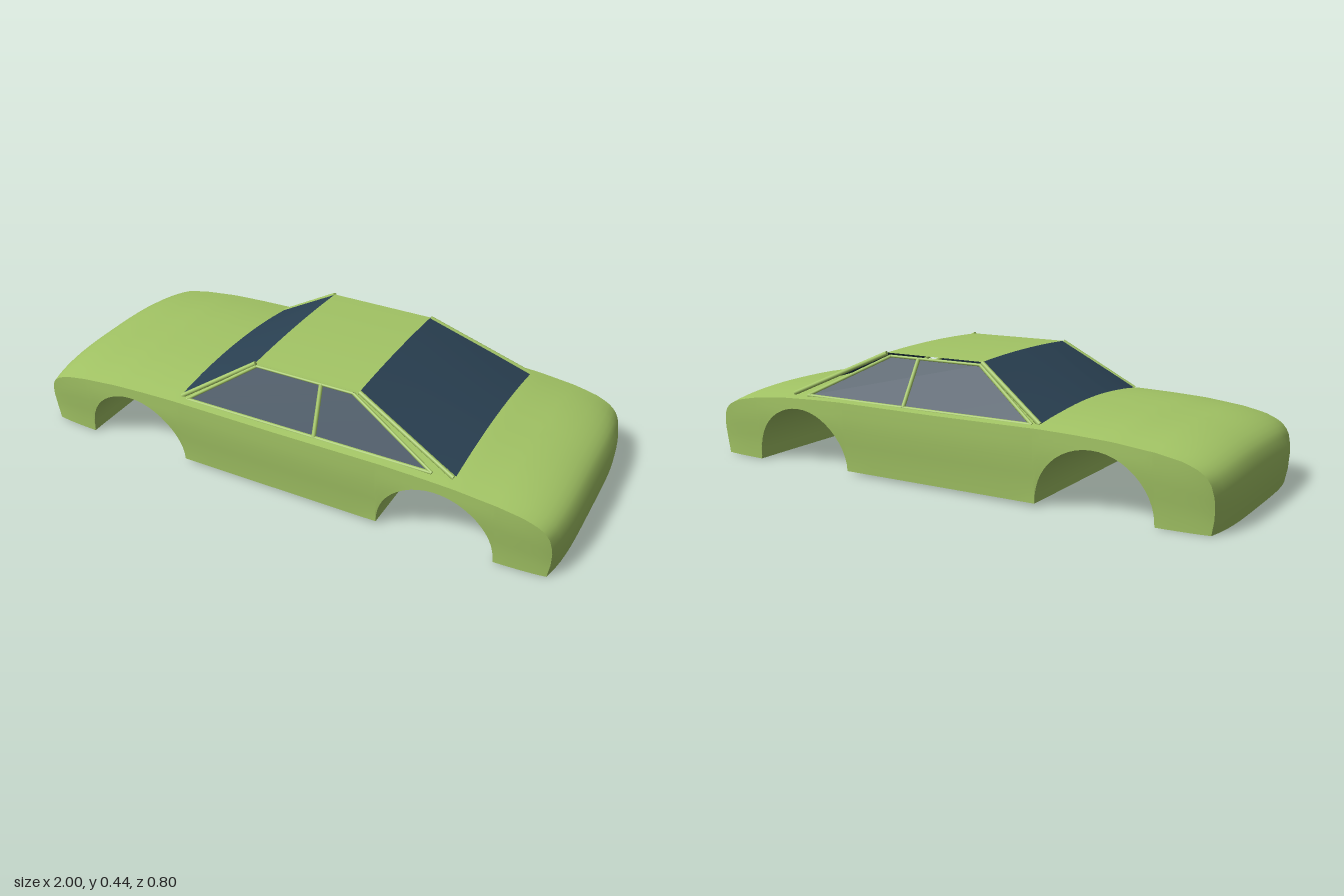
import * as THREE from 'three';
import { toCreasedNormals } from 'three/addons/utils/BufferGeometryUtils.js';

const paint = new THREE.MeshStandardMaterial({ color: 0xa3c565, side: THREE.DoubleSide });
paint.name = 'green paint';
const glass = new THREE.MeshStandardMaterial({ color: 0x2b4254, side: THREE.DoubleSide });
glass.name = 'dark glass';

const ARCH = { x: 0.583, y: 0.01, r: 0.205 };
// Height of the bonnet and boot along the centre line, from the middle to either end
const DECK = [[0, 0.287], [0.4, 0.289], [0.52, 0.286], [0.65, 0.28], [0.8, 0.264], [0.88, 0.248],
  [0.93, 0.231], [0.965, 0.21], [0.985, 0.185], [0.997, 0.15], [1, 0.1]];

function deckHeight(x) {
  const i = Math.max(1, DECK.findIndex(p => p[0] >= x));
  const [x0, y0] = DECK[i - 1], [x1, y1] = DECK[i];
  return y0 + (y1 - y0) * (x - x0) / (x1 - x0);
}

// Half of the stations along the length: [x, underside height]
function halfStations() {
  const list = [[0.13, 0.01], [0.27, 0.01]];
  for (let i = 0; i <= 24; i++) {
    const a = Math.PI * (1 - i / 24);
    list.push([ARCH.x + ARCH.r * Math.cos(a), ARCH.y + ARCH.r * Math.sin(a)]);
  }
  for (const x of [0.79, 0.84, 0.88, 0.91, 0.935, 0.955, 0.97, 0.985]) list.push([x, 0]);
  list.push([0.997, 0.05], [1, 0.1]);
  return list;
}

// Closed cross-section: up one side, over the crowned top, down, back underneath
function bodySection(x, bottom) {
  const ax = Math.abs(x), top = deckHeight(ax), pts = [];
  const crown = Math.min(0.03, (top - bottom) * 0.45), shoulder = top - crown;
  const width = y => 0.38 + 0.02 * THREE.MathUtils.smoothstep(y, 0, 0.21) - 0.018 * ax ** 8;
  const add = (y, z, k) => pts.push([x - Math.sign(x) * 0.03 * ax ** 12 * k ** 4, y, z]);
  const level = f => bottom + (shoulder - bottom) * f;
  const wTop = width(shoulder), wLow = width(bottom), N = 16, S = 5;
  for (let i = 0; i < S; i++) add(level(i / S), width(level(i / S)), 1);
  for (let i = 0; i <= N; i++) {
    const k = 1 - 2 * i / N;
    add(shoulder + crown * (1 - Math.abs(k) ** 2.5), k * wTop, k);
  }
  for (let i = S - 1; i >= 0; i--) add(level(i / S), -width(level(i / S)), 1);
  for (let i = 1; i < N; i++) add(bottom, (2 * i / N - 1) * wLow, 2 * i / N - 1);
  return pts;
}

// Skin over rows of points
function skin(rows, closed, crease) {
  const n = rows[0].length, index = [];
  for (let i = 0; i < rows.length - 1; i++) {
    for (let j = 0; j < (closed ? n : n - 1); j++) {
      const k = (j + 1) % n, a = i * n, b = a + n;
      index.push(a + j, b + j, b + k, a + j, b + k, a + k);
    }
  }
  const geo = new THREE.BufferGeometry();
  geo.setAttribute('position', new THREE.Float32BufferAttribute(rows.flat(2), 3));
  geo.setIndex(index);
  return toCreasedNormals(geo, crease);
}

function mesh(name, geo, mat, parent) {
  const m = new THREE.Mesh(geo, mat);
  m.name = name;
  parent.add(m);
  return m;
}

// Sheet between two cross-car edges, each given as [x, edge y, crown, half width]
function crossPanel(from, to) {
  const rows = [];
  for (let i = 0; i <= 6; i++) {
    const [x, y, crown, w] = from.map((v, k) => v + (to[k] - v) * i / 6);
    const row = [];
    for (let j = 0; j <= 16; j++) {
      const k = 1 - j / 8;
      row.push([x, y + crown * (1 - k * k), k * w]);
    }
    rows.push(row);
  }
  return skin(rows, false, 0.6);
}

// Round bar between two points
function bar(name, a, b, radius, parent) {
  const p = new THREE.Vector3(...a), d = new THREE.Vector3(...b).sub(p);
  const m = mesh(name, new THREE.CylinderGeometry(radius, radius, d.length(), 10), paint, parent);
  m.position.copy(p).addScaledVector(d, 0.5);
  m.quaternion.setFromUnitVectors(new THREE.Vector3(0, 1, 0), d.normalize());
}

export function createModel() {
  const car = new THREE.Group();
  car.name = 'carBody';

  // Lower shell with wheel arches cut across the full width
  const half = halfStations();
  const stations = [...half.map(([x, b]) => [-x, b]).reverse(), [0, 0.01], ...half];
  mesh('lowerBody', skin(stations.map(([x, b]) => bodySection(x, b)), true, 0.6), paint, car);

  // Roof and the two large screens
  const roofLeft = [-0.125, 0.43, 0.008, 0.285], roofRight = [0.265, 0.43, 0.008, 0.285];
  mesh('roof', crossPanel(roofLeft, roofRight), paint, car);
  mesh('leftScreen', crossPanel([-0.39, 0.266, 0.027, 0.352], roofLeft), glass, car);
  mesh('rightScreen', crossPanel(roofRight, [0.635, 0.262, 0.024, 0.348]), glass, car);

  // Side windows with their frames and pillars
  for (const s of [1, -1]) {
    const side = new THREE.Group();
    side.name = s > 0 ? 'frontSideWindows' : 'backSideWindows';
    car.add(side);
    const low0 = [-0.36, 0.262, s * 0.368], low1 = [0.56, 0.262, s * 0.366];
    const high0 = [-0.12, 0.42, s * 0.29], high1 = [0.245, 0.42, s * 0.29];
    const rows = s > 0 ? [[low0, high0], [low1, high1]] : [[high0, low0], [high1, low1]];
    mesh('sideGlass', skin(rows, false, 0.6), glass, side);
    bar('windowFrameLeft', low0, high0, 0.006, side);
    bar('windowFrameRight', low1, high1, 0.006, side);
    bar('windowFrameTop', high0, high1, 0.005, side);
    bar('windowSill', low0, low1, 0.006, side);
    bar('middlePillar', [0.14, 0.262, s * 0.367], [0.127, 0.42, s * 0.29], 0.008, side);
    bar('cornerPillarLeft', [-0.385, 0.264, s * 0.36], [-0.125, 0.428, s * 0.286], 0.008, side);
    bar('cornerPillarRight', [0.63, 0.262, s * 0.358], [0.265, 0.428, s * 0.286], 0.008, side);
  }
  return car;
}
